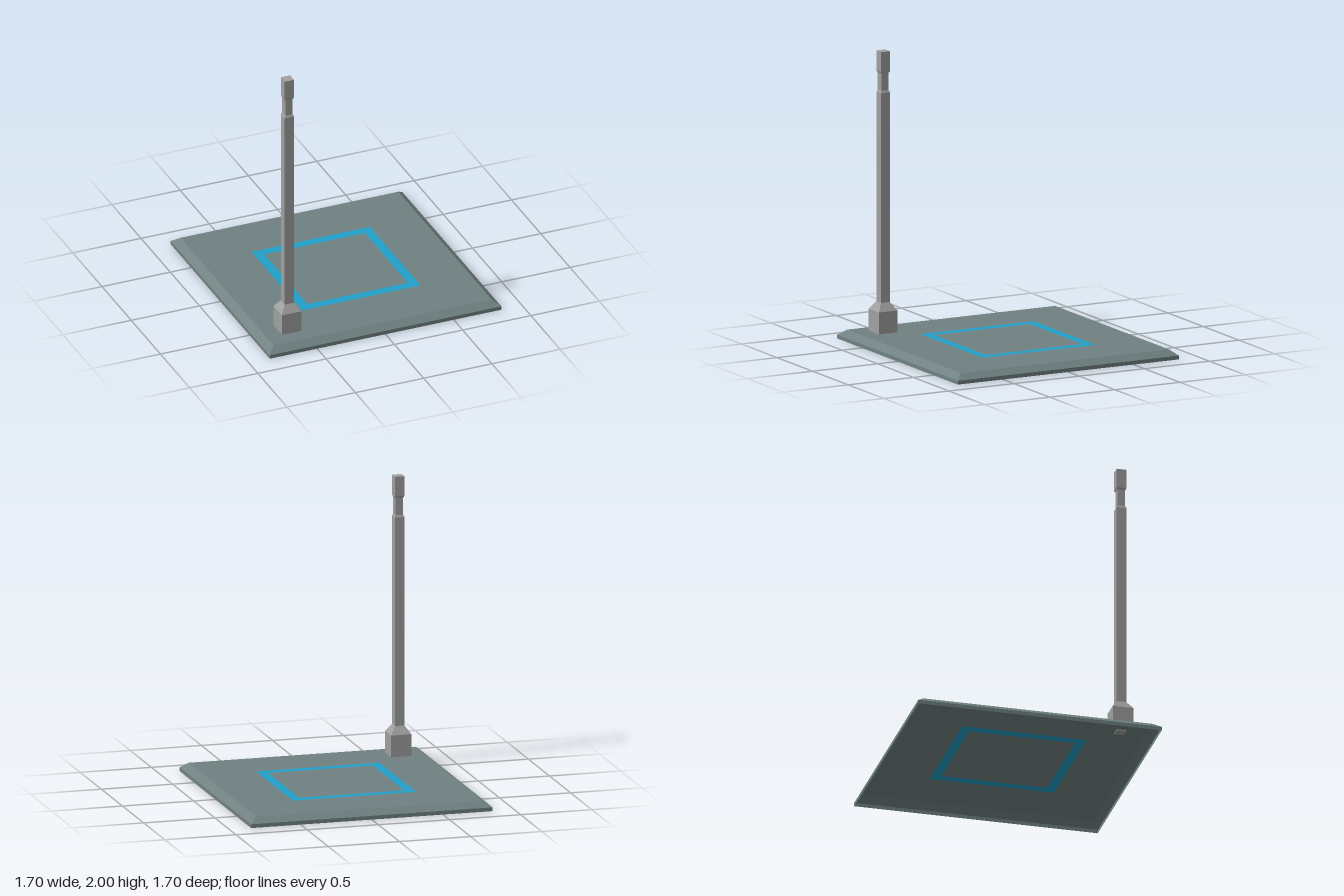
import * as THREE from 'three';

const deckY = 0.065;

const slate = new THREE.MeshStandardMaterial({ color: 0x708181, side: THREE.DoubleSide });
slate.name = 'slate';
const blue = new THREE.MeshStandardMaterial({ color: 0x22a0c9, side: THREE.DoubleSide });
blue.name = 'blue';
const grey = new THREE.MeshStandardMaterial({ color: 0xa0a0a0 });
grey.name = 'grey';

// Square-section solid from [half width, height] pairs, with flat faces
function squareLathe(profile) {
  const points = profile.map(([half, y]) => new THREE.Vector2(half * Math.SQRT2, y));
  const geometry = new THREE.LatheGeometry(points, 4, Math.PI / 4).toNonIndexed();
  geometry.computeVertexNormals();
  return geometry;
}

// Horizontal square sheet at deck height, optionally with a square hole
function squareSheet(half, holeHalf = 0) {
  const corners = (h) => [[-h, -h], [h, -h], [h, h], [-h, h]].map(([x, y]) => new THREE.Vector2(x, y));
  const shape = new THREE.Shape(corners(half));
  if (holeHalf) shape.holes.push(new THREE.Path(corners(holeHalf).reverse()));
  return new THREE.ShapeGeometry(shape).rotateX(-Math.PI / 2).translate(0, deckY, 0);
}

function part(name, geometry, material) {
  const mesh = new THREE.Mesh(geometry, material);
  mesh.name = name;
  return mesh;
}

export function createModel() {
  const model = new THREE.Group();
  model.name = 'landingPadWithPost';

  // Platform: a shell open underneath, with a ring set flush in its deck
  const platform = new THREE.Group();
  platform.name = 'platform';
  platform.add(
    part('rim', squareLathe([[0.848, 0], [0.848, 0.026], [0.798, deckY]]), slate),
    part('outerDeck', squareSheet(0.798, 0.434), slate),
    part('squareMarking', squareSheet(0.434, 0.368), blue),
    part('innerDeck', squareSheet(0.368), slate),
  );

  // Post: stub through the deck, footing, shaft, neck and head
  const post = part('post', squareLathe([
    [0, 0.058], [0.034, 0.058], [0.034, 0.067],
    [0.0715, 0.067], [0.0715, 0.218], [0.034, 0.273],
    [0.034, 1.717], [0.027, 1.732],
    [0.027, 1.85], [0.034, 1.864],
    [0.034, 2], [0, 2],
  ]), grey);
  post.position.set(-0.621, 0, 0.619);

  model.add(platform, post);
  return model;
}
